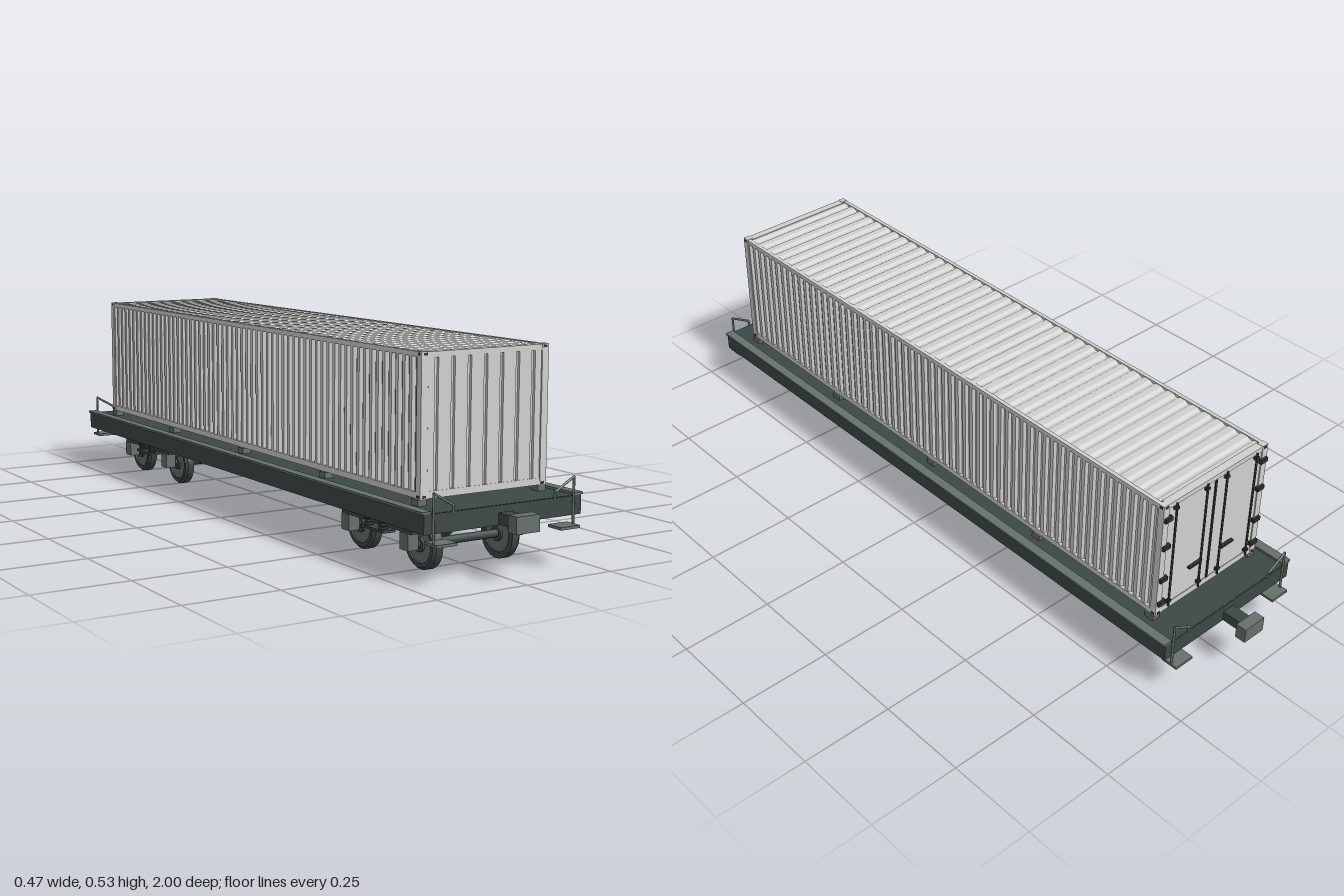
import * as THREE from 'three';
import { toCreasedNormals } from 'three/addons/utils/BufferGeometryUtils.js';

const mat = (name, color) => Object.assign(new THREE.MeshStandardMaterial({ color }), { name });

export function createModel() {
  const M = {
    shell: mat('container light grey', 0xd0d0cf),
    frame: mat('frame dark green grey', 0x3c4946),
    steel: mat('fitting mid grey', 0x66706c),
    black: mat('hardware near black', 0x2b302f),
  };
  const root = new THREE.Group();
  root.name = 'containerWagon';
  const group = (name, parent = root) => {
    const g = new THREE.Group();
    g.name = name;
    parent.add(g);
    return g;
  };
  const add = (parent, name, geo, m) => {
    const mesh = new THREE.Mesh(geo, m);
    mesh.name = name;
    parent.add(mesh);
    return mesh;
  };
  // box given by its lower and upper limits on each axis
  const box = (p, name, m, x0, x1, y0, y1, z0, z1) => {
    const mesh = add(p, name, new THREE.BoxGeometry(Math.abs(x1 - x0), y1 - y0, Math.abs(z1 - z0)), m);
    mesh.position.set((x0 + x1) / 2, (y0 + y1) / 2, (z0 + z1) / 2);
    return mesh;
  };
  const rod = (p, name, m, r, pts) => {
    for (let i = 1; i < pts.length; i++) {
      const a = new THREE.Vector3(...pts[i - 1]), b = new THREE.Vector3(...pts[i]);
      const mesh = add(p, name, new THREE.CylinderGeometry(r, r, a.distanceTo(b) + r, 8), m);
      mesh.position.copy(a).add(b).multiplyScalar(0.5);
      mesh.quaternion.setFromUnitVectors(new THREE.Vector3(0, 1, 0), b.sub(a).normalize());
    }
  };
  // ridged sheet: ridges face "out", and run along "run"
  const sheet = (p, name, width, span, n, ridge, slope, depth, out, run, pos) => {
    const s = new THREE.Shape(), pitch = width / n;
    s.moveTo(-width / 2, -depth - 0.004);
    s.lineTo(width / 2, -depth - 0.004);
    for (let i = n - 1; i >= 0; i--) {
      const c = -width / 2 + (i + 0.5) * pitch, h = (pitch * (1 - ridge)) / 2, q = h - pitch * slope;
      s.lineTo(c + pitch / 2, 0);
      s.lineTo(c + h, 0);
      s.lineTo(c + q, -depth);
      s.lineTo(c - q, -depth);
      s.lineTo(c - h, 0);
    }
    s.lineTo(-width / 2, 0);
    const geo = new THREE.ExtrudeGeometry(s, { depth: span, bevelEnabled: false });
    geo.translate(0, 0, -span / 2);
    const Y = new THREE.Vector3(...out), Z = new THREE.Vector3(...run);
    geo.applyMatrix4(new THREE.Matrix4().makeBasis(Y.clone().cross(Z), Y, Z));
    add(p, name, geo, M.shell).position.set(...pos);
  };

  // Container: edge frame, corner castings, ridged walls and roof
  const can = group('container');
  const X = 0.184, Y0 = 0.187, Y1 = 0.527, Z = 0.838;
  for (const s of [-1, 1]) {
    box(can, 'topRail', M.shell, s * 0.172, s * (X - 0.001), 0.514, 0.526, -Z, Z);
    box(can, 'bottomRail', M.shell, s * 0.168, s * (X - 0.001), Y0 + 0.001, 0.203, -Z, Z);
    sheet(can, 'sideWall', 1.64, 0.311, 60, 0.4, 0.14, 0.008, [s, 0, 0], [0, 1, 0], [s * 0.182, 0.3585, 0]);
    for (const e of [-1, 1]) {
      box(can, 'cornerPost', M.shell, s * 0.165, s * X, Y0, Y1, e * 0.82, e * Z);
      for (const y of [0.193, 0.521]) {
        box(can, 'castingSlot', M.black, s * 0.168, s * 0.178, y - 0.003, y + 0.003, e * 0.83, e * (Z + 0.001));
        box(can, 'castingSideSlot', M.black, s * 0.18, s * (X + 0.001), y - 0.003, y + 0.003, e * 0.824, e * 0.834);
      }
    }
  }
  for (const e of [-1, 1]) {
    box(can, 'endTopRail', M.shell, -0.166, 0.166, 0.512, 0.526, e * 0.815, e * (Z - 0.001));
    box(can, 'endBottomRail', M.shell, -0.166, 0.166, Y0 + 0.001, 0.205, e * 0.82, e * (Z - 0.001));
  }
  sheet(can, 'roof', 1.63, 0.346, 40, 0.45, 0.2, 0.005, [0, 1, 0], [1, 0, 0], [0, 0.524, 0]);
  sheet(can, 'frontWall', 0.327, 0.307, 7, 0.78, 0.02, 0.006, [0, 0, 1], [0, 1, 0], [0, 0.3585, 0.836]);
  box(can, 'floor', M.shell, -0.175, 0.175, 0.19, 0.2, -0.82, 0.82);

  // Rear doors with seam, locking rods, handles and hinges
  const doors = group('rearDoors', can);
  box(doors, 'doorSeam', M.black, -0.003, 0.003, 0.205, 0.512, -0.838, -0.825);
  for (const s of [-1, 1]) {
    box(doors, 'doorPanel', M.shell, s * 0.003, s * 0.165, 0.205, 0.512, -0.835, -0.82);
    for (const x of [0.035, 0.142]) {
      rod(doors, 'lockingRod', M.black, 0.0028, [[s * x, 0.2, -0.841], [s * x, 0.518, -0.841]]);
      for (const y of [0.215, 0.505]) box(doors, 'rodBracket', M.black, s * x - 0.006, s * x + 0.006, y - 0.004, y + 0.004, -0.844, -0.834);
    }
    box(doors, 'doorHandle', M.black, s * 0.035, s * 0.08, 0.282, 0.288, -0.846, -0.838);
    for (const y of [0.225, 0.3, 0.4, 0.485]) box(doors, 'hinge', M.black, s * 0.157, s * 0.181, y - 0.006, y + 0.006, -0.845, -0.835);
  }

  // Wagon deck and underframe
  const deck = group('underframe');
  box(deck, 'deckPlate', M.frame, -0.222, 0.222, 0.15, 0.172, -0.912, 0.912);
  for (const s of [-1, 1]) {
    box(deck, 'sideSill', M.frame, s * 0.21, s * 0.228, 0.125, 0.172, -0.915, 0.915);
    box(deck, 'sillLip', M.steel, s * 0.208, s * 0.234, 0.172, 0.178, -0.915, 0.915);
    box(deck, 'endSill', M.frame, -0.21, 0.21, 0.125, 0.1715, s * 0.895, s * 0.915);
    box(deck, 'longBeam', M.frame, s * 0.045, s * 0.06, 0.138, 0.152, -0.9, 0.9);
    for (const z of [-0.82, -0.42, 0, 0.42, 0.82]) box(deck, 'containerPad', M.steel, s * 0.163, s * 0.187, 0.17, 0.187, z - 0.014, z + 0.014);
  }
  for (const z of [-0.38, -0.2, 0.2, 0.38]) box(deck, 'crossBeam', M.frame, -0.212, 0.212, 0.136, 0.152, z - 0.007, z + 0.007);

  // Air tank and valve box under the deck
  const tank = add(deck, 'airTank', toCreasedNormals(new THREE.CylinderGeometry(0.025, 0.025, 0.2, 20).rotateX(Math.PI / 2), 0.7), M.steel);
  tank.position.set(0, 0.117, 0.07);
  for (const z of [0.0, 0.14]) box(deck, 'tankHanger', M.frame, -0.022, 0.022, 0.12, 0.152, z - 0.004, z + 0.004);
  box(deck, 'valveBox', M.frame, 0.1, 0.15, 0.107, 0.152, -0.045, 0);
  rod(deck, 'brakeRod', M.frame, 0.004, [[0.12, 0.13, -0.02], [0.02, 0.13, -0.02]]);

  // Couplers, steps and hand rails at both ends
  for (const e of [-1, 1]) {
    const end = group(e > 0 ? 'frontFittings' : 'rearFittings');
    box(end, 'couplerShank', M.frame, -0.018, 0.018, 0.127, 0.154, e * 0.9, e * 0.972);
    box(end, 'couplerHead', M.steel, -0.034, 0.034, 0.12, 0.161, e * 0.97, e);
    for (const s of [-1, 1]) {
      box(end, 'step', M.steel, s * 0.15, s * 0.208, 0.097, 0.104, e * 0.89, e * 0.937);
      rod(end, 'handRail', M.steel, 0.0032, [[s * 0.203, 0.1, e * 0.917], [s * 0.203, 0.218, e * 0.917], [s * 0.147, 0.186, e * 0.917], [s * 0.147, 0.168, e * 0.914]]);
    }
  }

  // Bogies: wheels, axles, side frames, springs
  const P = (a) => a.map(([r, y]) => new THREE.Vector2(r, y));
  const lathe = (pts) => toCreasedNormals(new THREE.LatheGeometry(P(pts), 32).rotateZ(-Math.PI / 2), 0.6);
  const rimGeo = lathe([[0.046, -0.013], [0.062, -0.013], [0.062, 0.006], [0.057, 0.01], [0.056, 0.013], [0.046, 0.013], [0.046, -0.013]]);
  const webGeo = lathe([[0, -0.009], [0.047, -0.009], [0.047, 0.009], [0, 0.009]]);
  const hubGeo = lathe([[0, -0.015], [0.019, -0.015], [0.019, 0.015], [0, 0.015]]);
  for (const e of [-1, 1]) {
    const bogie = group(e > 0 ? 'frontBogie' : 'rearBogie');
    bogie.position.z = e * 0.63;
    box(bogie, 'bolster', M.frame, -0.145, 0.145, 0.098, 0.152, -0.03, 0.03);
    for (const z of [-0.126, 0.126]) {
      const set = group('wheelSet', bogie);
      set.position.set(0, 0.062, z);
      rod(set, 'axle', M.frame, 0.0105, [[-0.13, 0, 0], [0.13, 0, 0]]);
      for (const s of [-1, 1]) {
        const wheel = group('wheel', set);
        wheel.position.x = s * 0.115;
        wheel.rotation.y = s > 0 ? 0 : Math.PI;
        add(wheel, 'rim', rimGeo, M.frame);
        add(wheel, 'web', webGeo, M.steel);
        add(wheel, 'hub', hubGeo, M.frame);
      }
    }
    for (const s of [-1, 1]) {
      const side = group('bogieSide', bogie);
      box(side, 'sideFrame', M.frame, s * 0.142, s * 0.166, 0.093, 0.112, -0.15, 0.15);
      box(side, 'springSeat', M.frame, s * 0.142, s * 0.178, 0.078, 0.084, -0.05, 0.05);
      box(side, 'springCap', M.frame, s * 0.142, s * 0.178, 0.113, 0.12, -0.05, 0.05);
      for (const z of [-0.126, 0.126]) {
        box(side, 'axleBox', M.steel, s * 0.141, s * 0.171, 0.053, 0.094, z - 0.017, z + 0.017);
      }
      for (const z of [-0.03, 0.03]) {
        rod(side, 'springCore', M.frame, 0.008, [[s * 0.164, 0.082, z], [s * 0.164, 0.115, z]]);
        for (const y of [0.088, 0.096, 0.104, 0.111]) {
          const coil = add(side, 'springCoil', new THREE.TorusGeometry(0.011, 0.0028, 6, 16).rotateX(Math.PI / 2), M.frame);
          coil.position.set(s * 0.164, y, z);
        }
      }
    }
  }
  return root;
}
